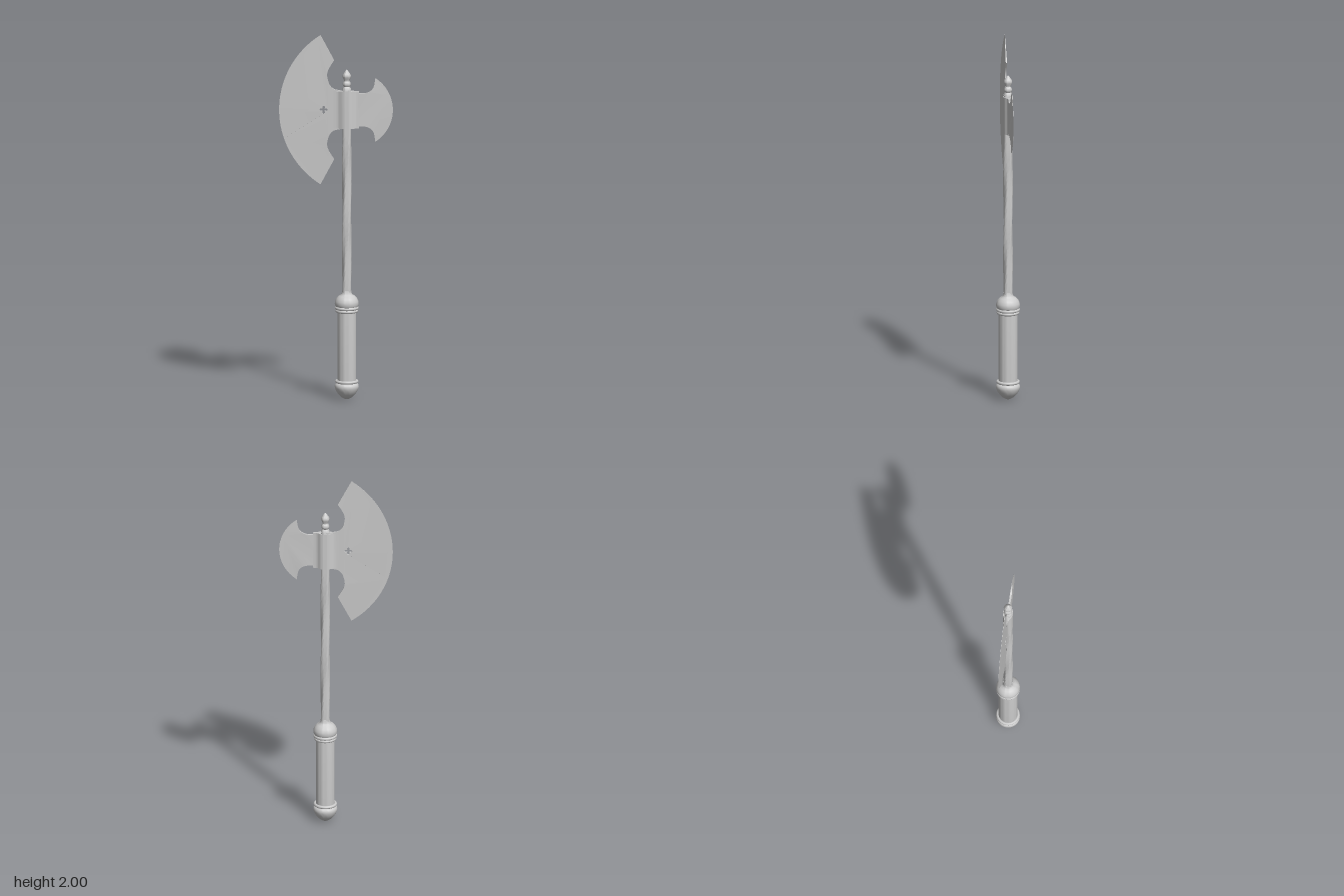
import * as THREE from 'three';
import { toCreasedNormals } from 'three/addons/utils/BufferGeometryUtils.js';

const AXIS_X = 0.055; // shaft axis
const HEAD_Y = 1.59; // middle of the axe head
const material = new THREE.MeshStandardMaterial({ color: 0xcccccc, side: THREE.DoubleSide });
const V = (x, y) => new THREE.Vector2(x, y);

function add(group, name, geometry, x = 0, y = 0) {
  const mesh = new THREE.Mesh(geometry, material);
  mesh.name = name;
  mesh.position.set(x, y, 0);
  group.add(mesh);
}

// Turned part on the shaft axis, from [radius, height] pairs
function turned(group, name, profile) {
  const points = profile.map(([r, y]) => V(r, y));
  add(group, name, toCreasedNormals(new THREE.LatheGeometry(points, 40), 0.7), AXIS_X);
}

// Blade symmetric about y = 0: a curved notch, a straight horn, then an arc
// of given centre and radius. The plate thins to a sharp edge at the arc.
function bladeGeometry({ side, notch, tip, centre, radius, taper, hole }) {
  const upper = new THREE.SplineCurve(notch.map(([x, y]) => V(x, y))).getPoints(28);
  const angle = Math.asin(tip / radius);
  const arc = [];
  for (let i = 0; i <= 48; i++) {
    const a = angle * (1 - i / 24);
    arc.push(V(centre + side * radius * Math.cos(a), radius * Math.sin(a)));
  }
  const lower = upper.map((p) => V(p.x, -p.y)).reverse();
  const shape = new THREE.Shape([...upper, ...arc, ...lower]);
  if (hole) shape.holes.push(hole);

  const geometry = new THREE.ExtrudeGeometry(shape, { depth: 1, bevelEnabled: false });
  const pos = geometry.attributes.position;
  for (let i = 0; i < pos.count; i++) {
    const inset = radius - Math.hypot(pos.getX(i) - centre, pos.getY(i));
    const half = 0.0006 + 0.0046 * THREE.MathUtils.clamp(inset / taper, 0, 1);
    pos.setZ(i, pos.getZ(i) > 0.5 ? half : -half);
  }
  return toCreasedNormals(geometry, 0.5);
}

// Small cross-shaped piercing
function crossHole(x, y, reach, w) {
  const points = [];
  for (let i = 0; i < 4; i++) {
    const a = (i * Math.PI) / 2;
    for (const [u, v] of [[w, -w], [reach * 0.8, -w * 1.2], [reach, 0], [reach * 0.8, w * 1.2]]) {
      points.push(V(x + u * Math.cos(a) - v * Math.sin(a), y + u * Math.sin(a) + v * Math.cos(a)));
    }
  }
  return new THREE.Path(points);
}

// Softly squared shaft, twisted between the grip and the head
function shaftGeometry(bottom, top) {
  const geometry = new THREE.CylinderGeometry(1, 1, top - bottom, 32, 90);
  geometry.translate(0, (bottom + top) / 2, 0);
  const pos = geometry.attributes.position;
  for (let i = 0; i < pos.count; i++) {
    const x = pos.getX(i), y = pos.getY(i), z = pos.getZ(i);
    const a = Math.atan2(x, z);
    const twist = Math.PI * THREE.MathUtils.clamp((y - 0.6) / 0.85, 0, 1);
    const r = Math.hypot(x, z) * (0.0243 - 0.002 * Math.cos(4 * a));
    pos.setXYZ(i, r * Math.sin(a + twist), y, r * Math.cos(a + twist));
  }
  return toCreasedNormals(geometry, 0.9);
}

// Sleeve around the shaft, flaring down to the blade thickness on both sides
function collarGeometry(height) {
  const front = new THREE.SplineCurve([
    V(-0.075, 0.005), V(-0.05, 0.007), V(-0.036, 0.014), V(-0.022, 0.022), V(0, 0.027),
    V(0.022, 0.022), V(0.034, 0.014), V(0.045, 0.007), V(0.065, 0.005),
  ]).getPoints(40);
  const back = front.map((p) => V(p.x, -p.y)).reverse();
  const geometry = new THREE.ExtrudeGeometry(new THREE.Shape([...front, ...back]), {
    depth: height, bevelEnabled: false,
  });
  geometry.translate(0, 0, -height / 2);
  geometry.rotateX(-Math.PI / 2);
  return toCreasedNormals(geometry, 0.6);
}

export function createModel() {
  const axe = new THREE.Group();
  axe.name = 'battleAxe';

  // Handle
  turned(axe, 'pommel', [
    [0, 0.002], [0.015, 0.005], [0.03, 0.014], [0.046, 0.03], [0.058, 0.048], [0.064, 0.064],
    [0.065, 0.074], [0.062, 0.084], [0.055, 0.09], [0.05, 0.092],
  ]);
  turned(axe, 'grip', [[0.05, 0.085], [0.051, 0.11], [0.051, 0.48], [0.05, 0.5]]);
  for (const [name, y, r] of [['lowerRing', 0.1, 0.055], ['upperRing', 0.487, 0.053], ['capRing', 0.503, 0.056]]) {
    const ring = new THREE.TorusGeometry(r, 0.0085, 10, 40);
    ring.rotateX(Math.PI / 2);
    add(axe, name, ring, AXIS_X, y);
  }
  turned(axe, 'gripCap', [
    [0.05, 0.507], [0.06, 0.512], [0.065, 0.524], [0.063, 0.54], [0.056, 0.556],
    [0.044, 0.569], [0.031, 0.577], [0.027, 0.584], [0.024, 0.6], [0, 0.6],
  ]);
  add(axe, 'twistedShaft', shaftGeometry(0.56, 1.7), AXIS_X);

  // Finial on top of the shaft
  turned(axe, 'finial', [
    [0.024, 1.695], [0.022, 1.708], [0.016, 1.717], [0.021, 1.725], [0.022, 1.733], [0.019, 1.741],
    [0.014, 1.748], [0.016, 1.757], [0.022, 1.769], [0.023, 1.777], [0.019, 1.787],
    [0.011, 1.798], [0.005, 1.807], [0, 1.81],
  ]);

  // Axe head
  add(axe, 'headCollar', collarGeometry(0.205), AXIS_X, HEAD_Y);
  add(axe, 'mainBlade', bladeGeometry({
    side: -1,
    notch: [[AXIS_X, 0.104], [0.02, 0.106], [-0.02, 0.117], [-0.043, 0.15], [-0.049, 0.207], [-0.013, 0.272]],
    tip: 0.41, centre: 0.178, radius: 0.488, taper: 0.22,
    hole: crossHole(-0.07, 0, 0.022, 0.006),
  }), 0, HEAD_Y);
  add(axe, 'rearBlade', bladeGeometry({
    side: 1,
    notch: [[AXIS_X, 0.105], [0.085, 0.098], [0.13, 0.09], [0.173, 0.097], [0.199, 0.123], [0.209, 0.174]],
    tip: 0.175, centre: 0.0955, radius: 0.2085, taper: 0.09,
  }), 0, HEAD_Y);

  return axe;
}
